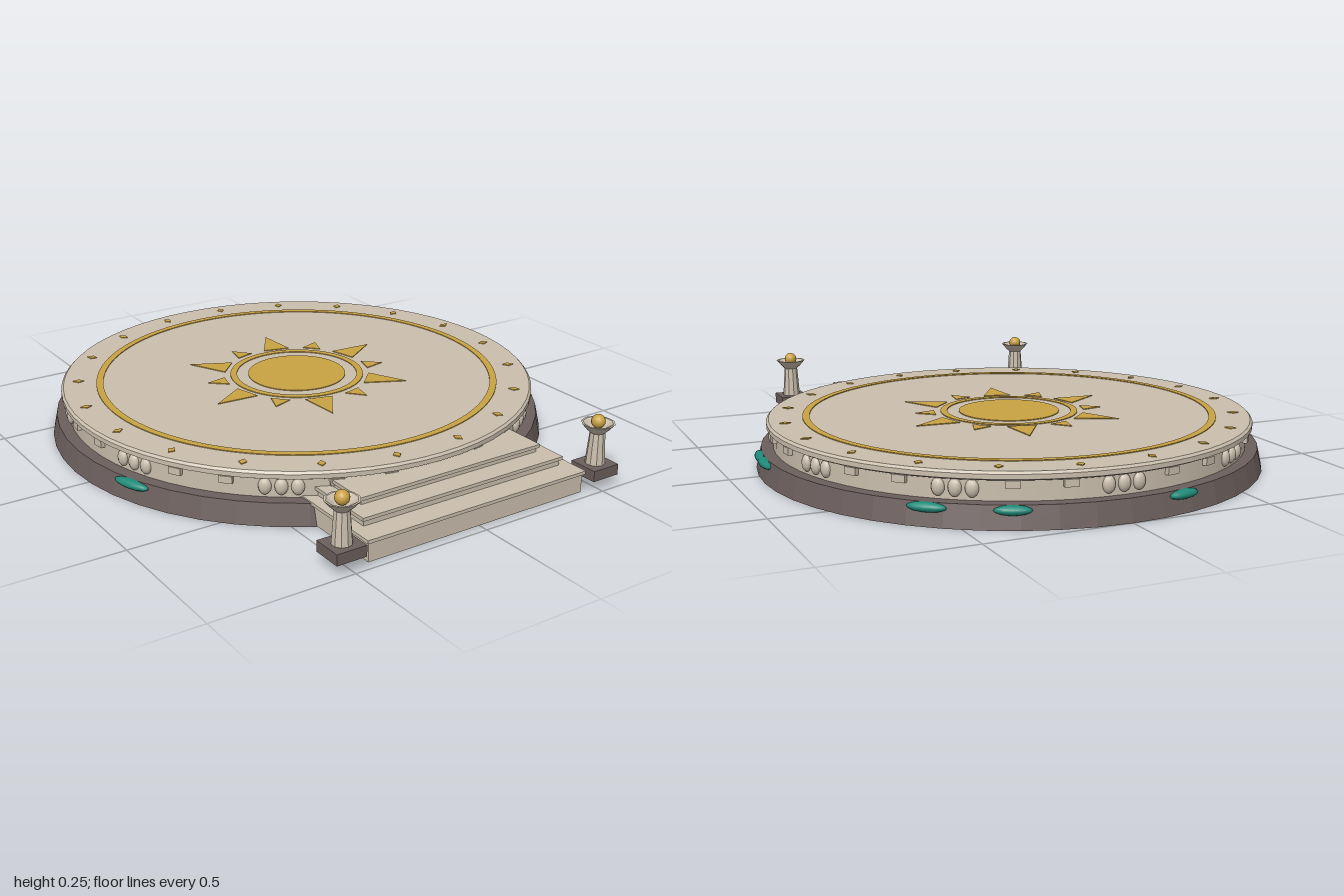
import * as THREE from 'three';

const mat = (name, color) => {
  const m = new THREE.MeshStandardMaterial({ color });
  m.name = name;
  return m;
};
const rad = THREE.MathUtils.degToRad;

// Faceted normals for low-poly parts
const flat = (geo) => {
  const g = geo.toNonIndexed();
  g.computeVertexNormals();
  return g;
};

export function createModel() {
  const stone = mat('pale stone', 0xcbbfae);
  const dark = mat('dark stone', 0x6b5f5d);
  const gold = mat('gold', 0xc9a243);
  const moss = mat('teal moss', 0x1f8a78);

  const model = new THREE.Group();
  const disc = new THREE.Group();
  disc.name = 'roundPlatform';
  disc.position.z = -0.1;
  model.add(disc);

  const add = (parent, name, geo, material, x = 0, y = 0, z = 0) => {
    const mesh = new THREE.Mesh(geo, material);
    mesh.name = name;
    mesh.position.set(x, y, z);
    parent.add(mesh);
    return mesh;
  };
  // Place on the platform's side; angle in degrees from +x towards +z
  const addAround = (name, geo, material, r, deg, y) => {
    const t = rad(deg);
    const mesh = add(disc, name, geo, material, Math.cos(t) * r, y, Math.sin(t) * r);
    mesh.rotation.y = Math.PI / 2 - t;
    return mesh;
  };

  // Plinth, drum and overhanging rim
  add(disc, 'plinth', flat(new THREE.CylinderGeometry(0.885, 0.902, 0.075, 48)), dark, 0, 0.0375, 0);
  add(disc, 'drum', new THREE.CylinderGeometry(0.842, 0.842, 0.08, 64), stone, 0, 0.11, 0);
  const rim = [[0, 0.142], [0.852, 0.142], [0.864, 0.148], [0.864, 0.164], [0.856, 0.172], [0, 0.172]];
  add(disc, 'rim', flat(new THREE.LatheGeometry(rim.map(([x, y]) => new THREE.Vector2(x, y)), 64)), stone);

  // Frieze: triple egg ornaments, with small blocks between them
  const egg = new THREE.SphereGeometry(1, 10, 8);
  for (let k = 0; k < 10; k++) {
    for (const off of [-3.6, 0, 3.6]) {
      addAround('friezeEgg', egg, stone, 0.842, 18 + 36 * k + off, 0.113).scale.set(0.022, 0.029, 0.016);
    }
  }
  const block = new THREE.BoxGeometry(0.045, 0.025, 0.03);
  for (let k = 0; k < 30; k++) {
    if (k % 3 !== 1) addAround('friezeBlock', block, stone, 0.842, 6 + 12 * k, 0.13);
  }

  // Moss clumps on the plinth: angle and half length
  const clump = new THREE.SphereGeometry(1, 12, 8);
  for (const [deg, len] of [[3, 0.075], [9, 0.075], [-49, 0.065], [-66, 0.06], [-103, 0.06], [160, 0.075]]) {
    addAround('moss', clump, moss, 0.888, deg, 0.06).scale.set(len, 0.016, 0.022);
  }

  // Thin gold inlays laid on the floor
  const inlay = (name, shape) => {
    const geo = new THREE.ExtrudeGeometry(shape, { depth: 0.004, bevelEnabled: false, curveSegments: 64 });
    geo.rotateX(-Math.PI / 2);
    return add(disc, name, geo, gold, 0, 0.171, 0);
  };
  const ring = (outer, inner) => {
    const s = new THREE.Shape().absarc(0, 0, outer, 0, Math.PI * 2);
    if (inner) s.holes.push(new THREE.Path().absarc(0, 0, inner, 0, Math.PI * 2, true));
    return s;
  };
  const poly = (...pts) => new THREE.Shape(pts.map(([x, y]) => new THREE.Vector2(x, y)));
  inlay('sunDisc', ring(0.18));
  inlay('sunRing', ring(0.246, 0.222));
  inlay('outerRing', ring(0.737, 0.712));
  const longRay = poly([0.262, -0.05], [0.41, 0], [0.262, 0.05]);
  const shortRay = poly([0.268, -0.034], [0.338, 0], [0.268, 0.034]);
  for (let k = 0; k < 6; k++) {
    inlay('longRay', longRay).rotation.y = rad(15 + 60 * k);
    inlay('shortRay', shortRay).rotation.y = rad(45 + 60 * k);
  }
  const diamond = poly([0.782, 0], [0.802, -0.014], [0.822, 0], [0.802, 0.014]);
  for (let k = 0; k < 20; k++) inlay('diamond', diamond).rotation.y = rad(9 + 18 * k);

  // Front steps: each a riser block under a slightly wider tread
  const stairs = new THREE.Group();
  stairs.name = 'stairs';
  model.add(stairs);
  const back = 0.6;
  [[0.44, 0.975, 0.002, 0.08], [0.405, 0.9, 0.07, 0.112], [0.365, 0.83, 0.1, 0.14]].forEach(([w, front, y0, y1]) => {
    const block = (name, hw, f, a, b) =>
      add(stairs, name, new THREE.BoxGeometry(hw * 2, b - a, f - back), stone, 0, (a + b) / 2, (f + back) / 2);
    block('riser', w - 0.008, front - 0.008, y0, y1 - 0.012);
    block('tread', w, front, y1 - 0.012, y1);
  });

  // Pair of lamp posts beside the steps
  const bowl = [[0, 0.19], [0.024, 0.19], [0.038, 0.203], [0.057, 0.225], [0.05, 0.225], [0.025, 0.208], [0, 0.206]];
  const bowlGeo = flat(new THREE.LatheGeometry(bowl.map(([x, y]) => new THREE.Vector2(x, y)), 10));
  for (const side of [-1, 1]) {
    const post = new THREE.Group();
    post.name = side > 0 ? 'leftPost' : 'rightPost';
    post.position.set(side * 0.512, 0, 0.943);
    add(post, 'postBase', new THREE.BoxGeometry(0.108, 0.038, 0.108), dark, 0, 0.062, 0);
    add(post, 'postShaft', flat(new THREE.CylinderGeometry(0.025, 0.034, 0.12, 10)), stone, 0, 0.14, 0);
    add(post, 'postBowl', bowlGeo, stone);
    add(post, 'postOrb', new THREE.SphereGeometry(0.024, 14, 10), gold, 0, 0.23, 0);
    model.add(post);
  }
  return model;
}
